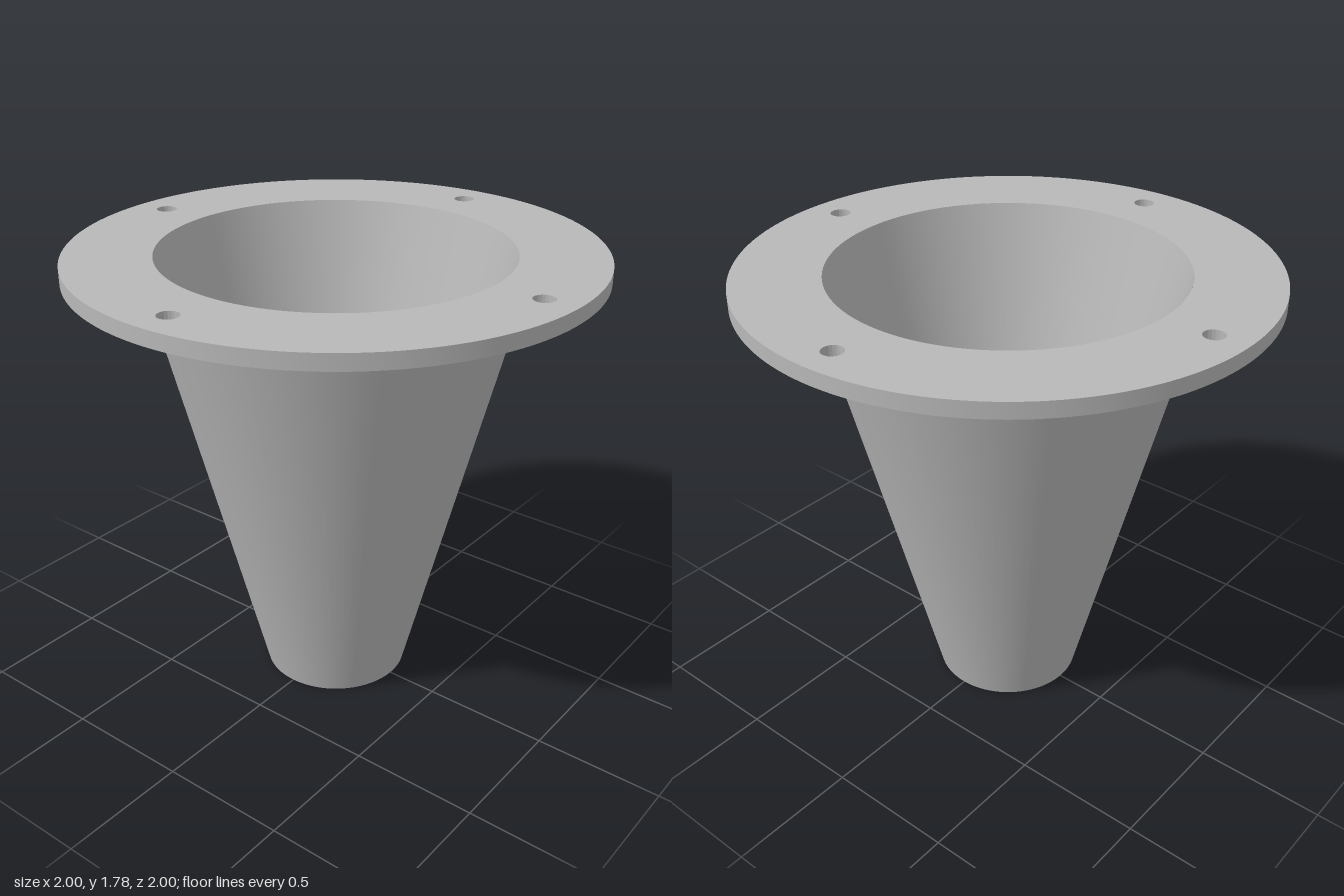
import * as THREE from 'three';
import { toCreasedNormals } from 'three/addons/utils/BufferGeometryUtils.js';

const HEIGHT = 1.78;
const FLANGE_THICKNESS = 0.06;
const FLANGE_BASE = HEIGHT - FLANGE_THICKNESS;
const BORE_TOP = 0.667;

function circlePath(x, y, radius) {
  return new THREE.Path().absarc(x, y, radius, 0, Math.PI * 2, true);
}

export function createModel() {
  const model = new THREE.Group();
  model.name = 'flangedFunnel';

  const metal = new THREE.MeshStandardMaterial({ color: 0xb8b8b8 });
  metal.name = 'grey metal';

  function addPart(name, geometry) {
    const mesh = new THREE.Mesh(toCreasedNormals(geometry, Math.PI / 5), metal);
    mesh.name = name;
    model.add(mesh);
    return mesh;
  }

  // Tapered tube: down the bore, across the bottom rim, up the outside
  const profile = [
    [BORE_TOP, HEIGHT],
    [0.222, 0],
    [0.289, 0],
    [0.715, FLANGE_BASE],
  ].map(([r, y]) => new THREE.Vector2(r, y));
  addPart('taperedTube', new THREE.LatheGeometry(profile, 96));

  // Round flange with a central opening and four bolt holes
  const disc = new THREE.Shape().absarc(0, 0, 1, 0, Math.PI * 2, false);
  disc.holes.push(circlePath(0, 0, BORE_TOP));
  for (let i = 0; i < 4; i++) {
    const angle = (i * Math.PI) / 2;
    disc.holes.push(circlePath(0.867 * Math.cos(angle), 0.867 * Math.sin(angle), 0.04));
  }
  const flange = new THREE.ExtrudeGeometry(disc, {
    depth: FLANGE_THICKNESS,
    bevelEnabled: false,
    curveSegments: 96,
  });
  flange.rotateX(-Math.PI / 2);
  flange.translate(0, FLANGE_BASE, 0);
  addPart('flange', flange);

  return model;
}
